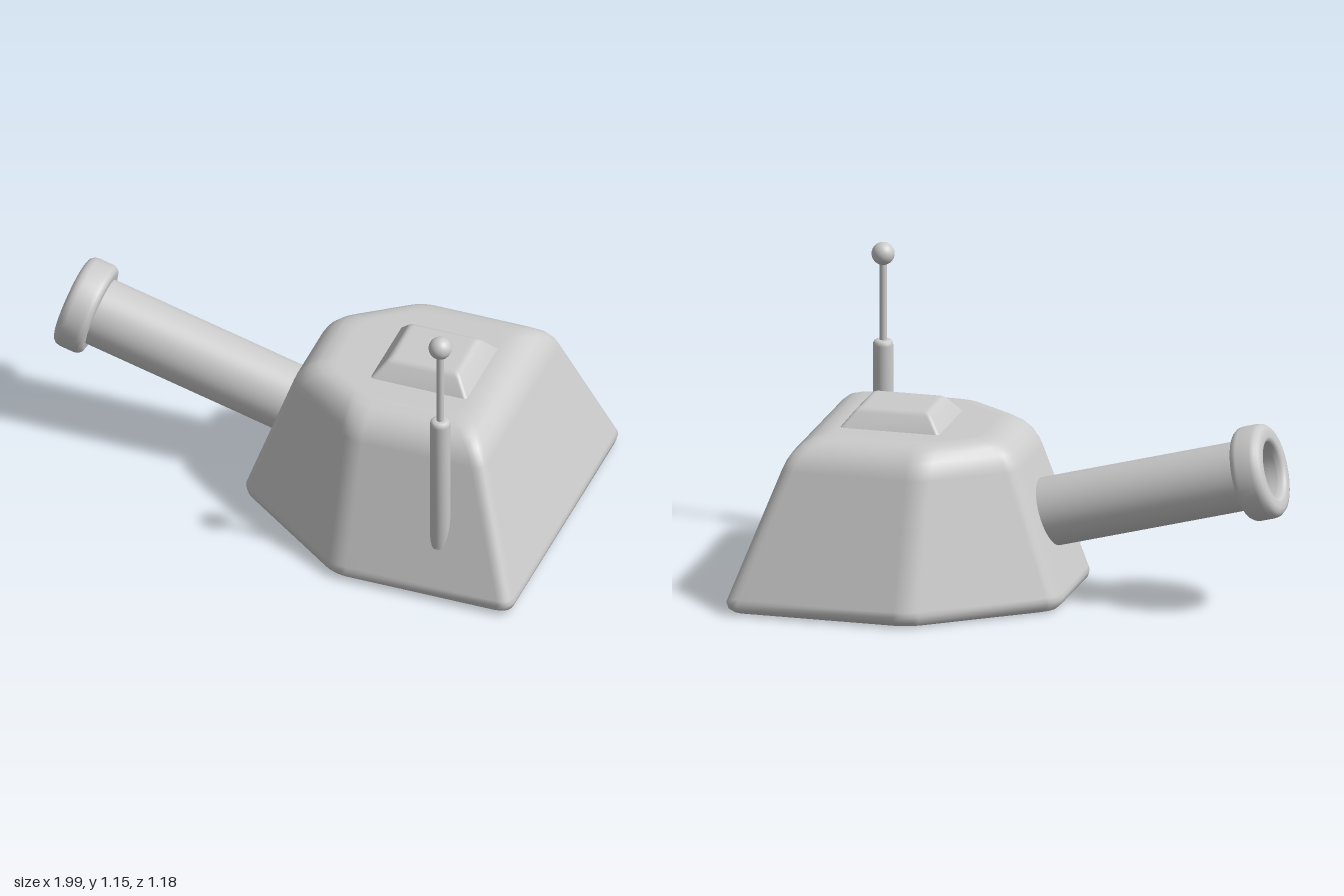
import * as THREE from 'three';

const material = new THREE.MeshStandardMaterial({ color: 0xcccccc });

function addMesh(parent, name, geometry) {
  const mesh = new THREE.Mesh(geometry, material);
  mesh.name = name;
  parent.add(mesh);
  return mesh;
}

// Outline with each corner replaced by a small curve; cut = length trimmed per side
function roundOutline(corners, cut, steps = 5) {
  const pts = corners.map(([x, z]) => new THREE.Vector2(x, z));
  const out = [];
  pts.forEach((p, i) => {
    const prev = pts[(i + pts.length - 1) % pts.length];
    const next = pts[(i + 1) % pts.length];
    const a = p.clone().add(prev.clone().sub(p).setLength(cut));
    const b = p.clone().add(next.clone().sub(p).setLength(cut));
    out.push(...new THREE.QuadraticBezierCurve(a, p, b).getPoints(steps));
  });
  return out;
}

// Skin over stacked outlines, closed at both ends; outlineAt(inset) gives the corners
function loft(profile, outlineAt, cut) {
  const positions = [], index = [];
  let n = 0;
  for (const [inset, y] of profile) {
    const ring = roundOutline(outlineAt(inset), cut);
    n = ring.length;
    ring.forEach((p) => positions.push(p.x, y, p.y));
  }
  const last = (profile.length - 1) * n;
  for (let r = 0; r < last; r += n) {
    for (let i = 0; i < n; i++) {
      const j = (i + 1) % n;
      index.push(r + i, r + j, r + n + j, r + i, r + n + j, r + n + i);
    }
  }
  // End caps
  const bottom = positions.length / 3, top = bottom + 1;
  positions.push(0.4, profile[0][1], 0, 0.4, profile[profile.length - 1][1], 0);
  for (let i = 0; i < n; i++) {
    const j = (i + 1) % n;
    index.push(bottom, j, i, top, last + i, last + j);
  }
  const geometry = new THREE.BufferGeometry();
  geometry.setAttribute('position', new THREE.Float32BufferAttribute(positions, 3));
  geometry.setIndex(index);
  geometry.computeVertexNormals();
  return geometry;
}

function lathe(points, segments = 48) {
  return new THREE.LatheGeometry(points.map(([r, y]) => new THREE.Vector2(r, y)), segments);
}

export function createModel() {
  const model = new THREE.Group();
  model.name = 'turret';

  // Six-sided body with sloping walls and a softly rounded roof edge
  const bodyOutline = (d) => {
    const nose = 0.227 - 0.25 * d;
    return [
      [1 - d, 0.59 - d], [1 - d, d - 0.59], [0.3, d - 0.59],
      [d - 0.19, -nose], [d - 0.19, nose], [0.3, 0.59 - d],
    ];
  };
  addMesh(model, 'body', loft([
    [0.06, 0], [0.04, 0], [0.022, 0.005], [0.006, 0.02], [0, 0.042], [0.006, 0.06],
    [0.168, 0.52], [0.18, 0.549], [0.2, 0.58], [0.23, 0.607], [0.265, 0.624],
    [0.305, 0.63], [0.33, 0.63],
  ], bodyOutline, 0.05));

  // Bevelled roof hatch
  const hatchOutline = (d) => [
    [0.67 - d, 0.17 - d], [0.67 - d, d - 0.17], [0.29 + d, d - 0.17], [0.29 + d, 0.17 - d],
  ];
  addMesh(model, 'hatch', loft([
    [0, 0.62], [0, 0.63], [0.042, 0.683], [0.05, 0.691], [0.06, 0.697],
    [0.07, 0.698], [0.08, 0.698],
  ], hatchOutline, 0.015));

  // Cannon: local y runs along the barrel, with the muzzle face at 0
  const cannon = new THREE.Group();
  cannon.name = 'cannon';
  cannon.position.set(-0.955, 0.55, 0);
  cannon.rotation.z = THREE.MathUtils.degToRad(75);
  model.add(cannon);
  addMesh(cannon, 'barrel', lathe([[0.13, -1.08], [0.13, -0.06]]));
  addMesh(cannon, 'muzzleRing', lathe([
    [0.12, -0.12], [0.15, -0.12], [0.166, -0.115], [0.175, -0.103], [0.178, -0.09],
    [0.178, -0.035], [0.174, -0.018], [0.163, -0.005], [0.147, 0],
    [0.123, 0], [0.112, -0.004], [0.106, -0.014], [0.104, -0.03],
  ]));
  addMesh(cannon, 'bore', lathe([[0.104, -0.03], [0.104, -0.5]]));
  const boreEnd = addMesh(cannon, 'boreEnd', new THREE.CircleGeometry(0.104, 48));
  boreEnd.rotation.x = -Math.PI / 2;
  boreEnd.position.y = -0.5;

  // Antenna rising from the side wall
  const antenna = new THREE.Group();
  antenna.name = 'antenna';
  antenna.position.set(0.69, 0, 0.5);
  model.add(antenna);
  addMesh(antenna, 'antennaSleeve', lathe([
    [0, 0.2], [0.038, 0.2], [0.038, 0.755], [0.036, 0.766], [0.03, 0.773], [0.02, 0.775], [0, 0.775],
  ], 32));
  const rod = addMesh(antenna, 'antennaRod', new THREE.CylinderGeometry(0.014, 0.014, 0.33, 24));
  rod.position.y = 0.92;
  const ball = addMesh(antenna, 'antennaBall', new THREE.SphereGeometry(0.043, 32, 20));
  ball.position.y = 1.107;

  return model;
}
